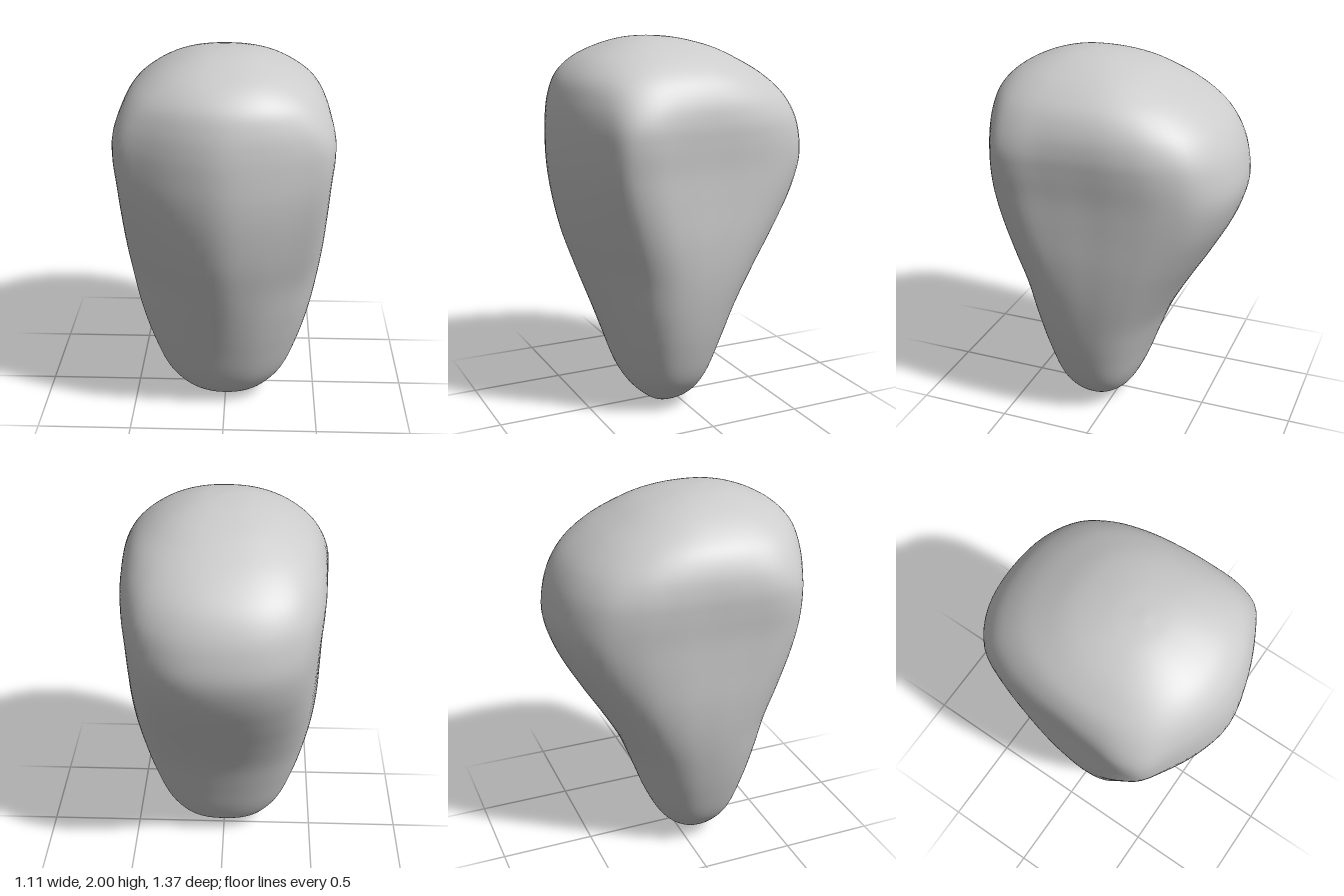
import * as THREE from 'three';
import { mergeVertices } from 'three/addons/utils/BufferGeometryUtils.js';

// Stations from bottom to top: height, half width, front z, back z
const STATIONS = [
  [0.0, 0.0, 0.09, 0.09], [0.015, 0.1, 0.15, 0.03], [0.05, 0.18, 0.2, -0.03],
  [0.1, 0.245, 0.25, -0.09], [0.2, 0.325, 0.31, -0.145], [0.4, 0.405, 0.39, -0.22],
  [0.6, 0.46, 0.47, -0.3], [0.8, 0.497, 0.55, -0.41], [1.0, 0.52, 0.62, -0.53],
  [1.2, 0.53, 0.665, -0.635], [1.36, 0.537, 0.683, -0.68], [1.5, 0.549, 0.683, -0.665],
  [1.6, 0.551, 0.675, -0.63], [1.7, 0.53, 0.655, -0.565], [1.8, 0.475, 0.615, -0.45],
  [1.88, 0.385, 0.54, -0.315], [1.94, 0.28, 0.43, -0.185], [1.985, 0.145, 0.285, -0.01],
  [2.0, 0.0, 0.15, 0.15],
];

// Half cross-sections from front middle round to back middle, normalised to [-1, 1]
const soften = (v) => Math.sign(v) * Math.abs(v) ** 0.85;
const ROUND = Array.from({ length: 12 }, (_, k) => {
  const a = k * Math.PI / 11;
  return k === 11 ? [0, -1] : [soften(Math.sin(a)), soften(Math.cos(a))];
});
const RIDGED = [[0, 1], [0.32, 0.91], [0.63, 0.72], [0.86, 0.53], [0.97, 0.32], [1, 0.08],
  [0.985, -0.16], [0.94, -0.42], [0.84, -0.64], [0.64, -0.83], [0.34, -0.96], [0, -1]];
const BROAD = [[0, 1], [0.36, 0.94], [0.72, 0.81], [0.93, 0.7], [1, 0.53], [0.985, 0.28],
  [0.96, 0], [0.94, -0.28], [0.88, -0.55], [0.73, -0.79], [0.42, -0.95], [0, -1]];

// Blend of section shapes along the height
function sectionPoint(y, k) {
  const s = THREE.MathUtils.smoothstep;
  const mix = THREE.MathUtils.lerp;
  return [0, 1].map((c) => {
    let v = mix(ROUND[k][c], RIDGED[k][c], s(y, 0, 0.85));
    v = mix(v, BROAD[k][c], s(y, 0.7, 1.45));
    return mix(v, ROUND[k][c], s(y, 1.5, 1.97));
  });
}

// Full ring of control points for one station, mirrored left to right
function controlRing([y, w, front, back]) {
  const mid = (front + back) / 2, half = (front - back) / 2;
  const left = ROUND.map((_, k) => {
    const [u, v] = sectionPoint(y, k);
    return new THREE.Vector3(u * w, y, mid + v * half);
  });
  const right = left.slice(1, -1).reverse().map((p) => new THREE.Vector3(-p.x, p.y, p.z));
  return [...left, ...right];
}

function bodyGeometry(rows = 90, cols = 88) {
  const rings = STATIONS.map(controlRing);
  const columns = rings[0].map((_, k) => new THREE.CatmullRomCurve3(rings.map((r) => r[k])));
  const positions = [], index = [];
  for (let i = 0; i <= rows; i++) {
    const ring = new THREE.CatmullRomCurve3(columns.map((c) => c.getPoint(i / rows)), true);
    for (let j = 0; j < cols; j++) positions.push(...ring.getPoint(j / cols).toArray());
  }
  // Quads between rings, single triangles at the two poles
  for (let i = 0; i < rows; i++) {
    for (let j = 0; j < cols; j++) {
      const a = i * cols + j, b = i * cols + (j + 1) % cols;
      if (i > 0) index.push(a, b, b + cols);
      if (i < rows - 1) index.push(a, b + cols, a + cols);
    }
  }
  const geometry = new THREE.BufferGeometry();
  geometry.setAttribute('position', new THREE.Float32BufferAttribute(positions, 3));
  geometry.setIndex(index);
  // Weld the poles so they shade smoothly
  const welded = mergeVertices(geometry, 1e-5);
  welded.computeVertexNormals();
  return welded;
}

export function createModel() {
  const group = new THREE.Group();
  group.name = 'taperedForm';
  const body = new THREE.Mesh(bodyGeometry(), new THREE.MeshStandardMaterial({ color: 0xcccccc }));
  body.name = 'body';
  group.add(body);
  return group;
}
